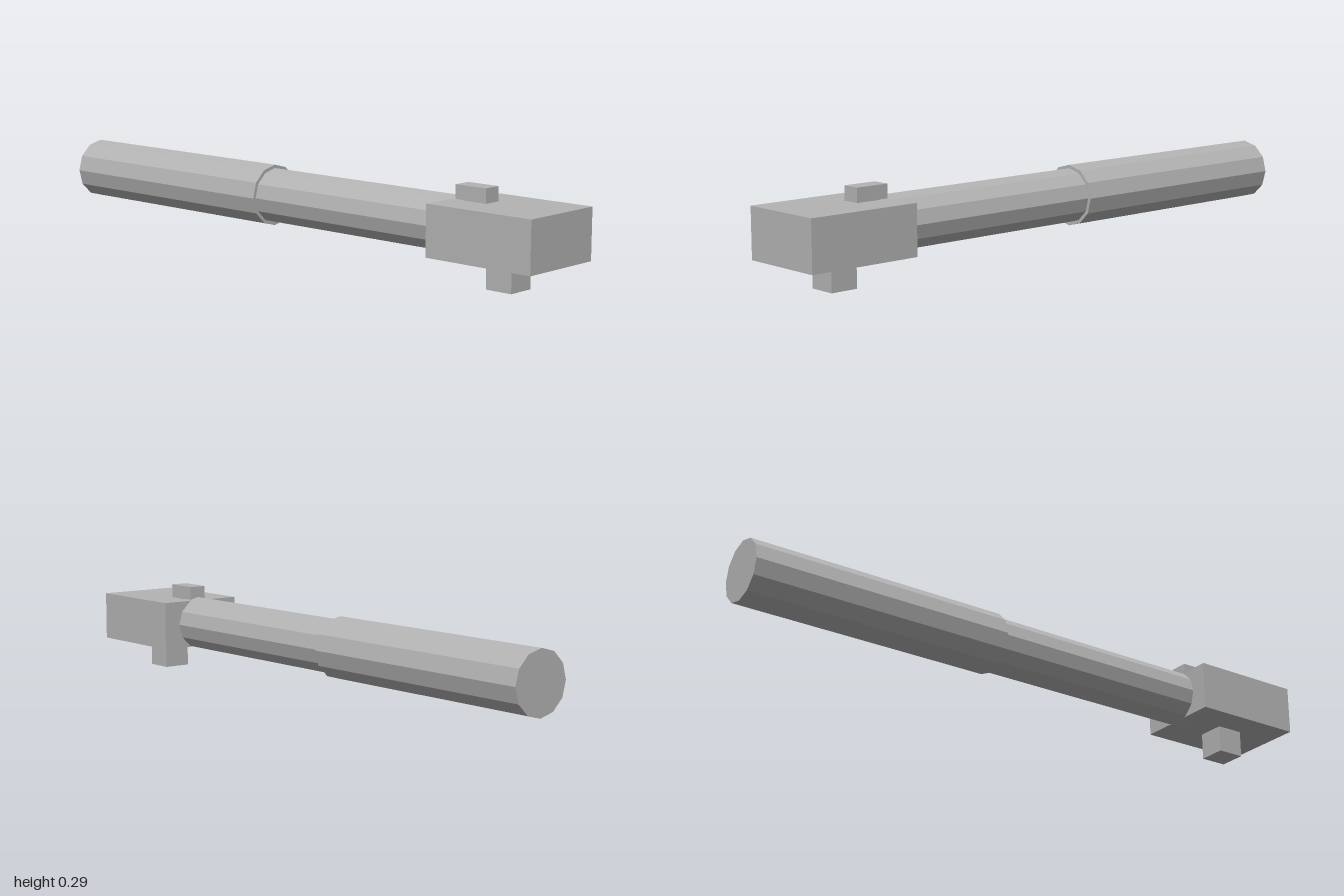
import * as THREE from 'three';

export function createModel() {
  const model = new THREE.Group();
  const steel = new THREE.MeshStandardMaterial({ color: 0xb3b3b3, flatShading: true });
  steel.name = 'steel grey';
  const axisY = 0.168; // height of the tool's long axis

  const add = (name, geometry, y, z) => {
    const mesh = new THREE.Mesh(geometry, steel);
    mesh.name = name;
    mesh.position.set(0, y, z);
    model.add(mesh);
  };

  // box spanning the given heights and depths, centred on x
  const block = (name, width, y0, y1, z0, z1) =>
    add(name, new THREE.BoxGeometry(width, y1 - y0, z1 - z0), (y0 + y1) / 2, (z0 + z1) / 2);

  // twelve-sided rod along z, with an edge at the top
  const rod = (name, radius, z0, z1) =>
    add(name, new THREE.CylinderGeometry(radius, radius, z1 - z0, 12).rotateX(Math.PI / 2), axisY, (z0 + z1) / 2);

  // handle
  rod('grip', 0.099, -1, -0.13);
  rod('shaft', 0.088, -0.13, 0.67);

  // ratchet head with its square drive below and direction switch above
  block('head', 0.29, 0.088, 0.247, 0.625, 1);
  block('squareDrive', 0.091, 0, 0.088, 0.77, 0.861);
  block('directionSwitch', 0.059, 0.24, 0.292, 0.64, 0.752);

  return model;
}
